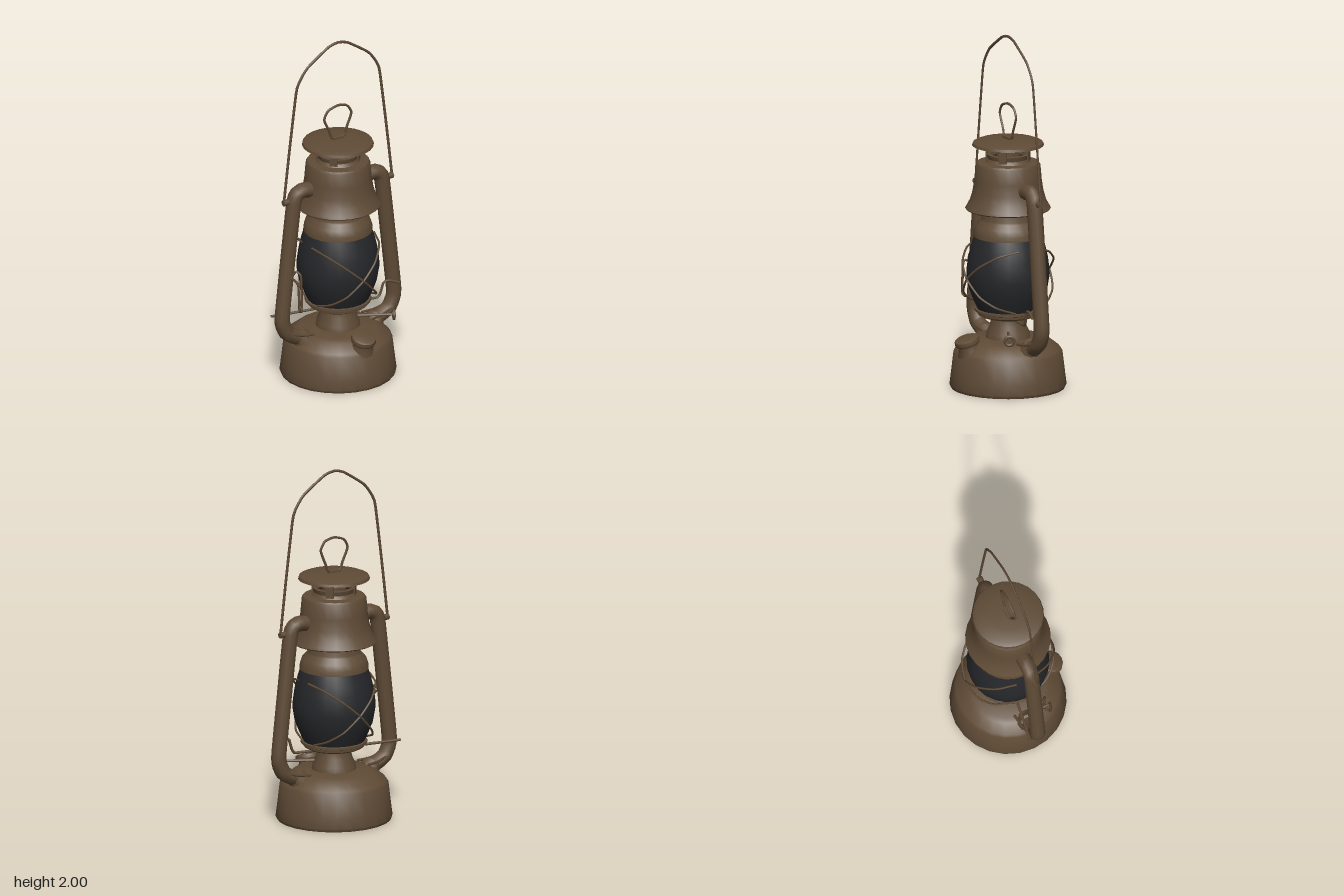
import * as THREE from 'three';
import { toCreasedNormals } from 'three/addons/utils/BufferGeometryUtils.js';

const bronze = new THREE.MeshStandardMaterial({ color: 0x5f4b36, side: THREE.DoubleSide });
bronze.name = 'aged bronze';
const glass = new THREE.MeshStandardMaterial({ color: 0x26272a, side: THREE.DoubleSide });
glass.name = 'smoked glass';

const v3 = (p) => new THREE.Vector3(p[0], p[1], p[2] || 0);

export function createModel() {
  const model = new THREE.Group();

  const add = (name, geometry, material = bronze, parent = model) => {
    const mesh = new THREE.Mesh(geometry, material);
    mesh.name = name;
    parent.add(mesh);
    return mesh;
  };
  // Turned part from [radius, height] pairs
  const turned = (name, profile, material = bronze, sides = 24, parent = model) =>
    add(name, toCreasedNormals(new THREE.LatheGeometry(
      profile.map(([r, y]) => new THREE.Vector2(r, y)), sides), 0.6), material, parent);
  // Bent wire or pipe through points
  const pipe = (name, points, radius, { sides = 6, steps = 32, closed = false, tension = 0.3 } = {}) =>
    add(name, new THREE.TubeGeometry(
      new THREE.CatmullRomCurve3(points.map(v3), closed, 'catmullrom', tension),
      steps, radius, sides, closed));

  // Fuel tank
  turned('fuelTank', [[0, 0], [0.318, 0], [0.325, 0.015], [0.318, 0.07], [0.302, 0.205],
    [0.29, 0.222], [0.235, 0.265], [0.21, 0.278], [0.14, 0.28], [0.12, 0.285], [0, 0.285]]);

  // Burner and the gallery that carries the globe
  turned('burner', [[0.125, 0.28], [0.12, 0.31], [0.1, 0.355], [0.095, 0.39], [0.11, 0.4],
    [0.15, 0.405], [0.168, 0.415], [0.17, 0.43], [0.185, 0.435], [0.185, 0.447], [0.16, 0.45], [0, 0.45]]);

  // Globe
  turned('globe', [[0.17, 0.445], [0.195, 0.5], [0.219, 0.565], [0.23, 0.63], [0.229, 0.68],
    [0.22, 0.745], [0.205, 0.81], [0.187, 0.865]], glass);

  // Collar and chimney throat
  turned('collar', [[0.18, 0.86], [0.193, 0.86], [0.191, 0.885], [0.18, 0.92], [0.152, 0.95],
    [0.147, 0.96], [0.147, 1.06]]);

  // Flared hood with neck
  turned('hood', [[0.232, 1.012], [0.238, 1.018], [0.232, 1.03], [0.212, 1.065], [0.197, 1.115],
    [0.187, 1.18], [0.18, 1.265], [0.172, 1.278], [0.125, 1.283], [0.112, 1.3], [0.118, 1.325], [0.1, 1.328]]);
  turned('hoodFloor', [[0.14, 1.05], [0.2, 1.08]]);

  // Vent posts and rain cap
  for (let i = 0; i < 4; i++) {
    const angle = Math.PI / 4 + i * Math.PI / 2;
    const post = add('ventPost', new THREE.BoxGeometry(0.045, 0.1, 0.008));
    post.position.set(Math.sin(angle) * 0.118, 1.34, Math.cos(angle) * 0.118);
    post.rotation.y = angle;
  }
  turned('ventCore', [[0.07, 1.32], [0.07, 1.39]]);
  turned('rainCap', [[0, 1.385], [0.15, 1.385], [0.19, 1.372], [0.2, 1.375], [0.195, 1.39],
    [0.17, 1.4], [0.1, 1.408], [0, 1.411]]);

  // Lifting ring on the cap
  pipe('liftingRing', [[-0.04, 1.42], [-0.055, 1.46], [-0.09, 1.54], [-0.065, 1.59], [0, 1.61],
    [0.06, 1.595], [0.088, 1.545], [0.055, 1.46], [0.04, 1.42]], 0.007, { closed: true, steps: 40 });
  const clip = add('ringClip', new THREE.BoxGeometry(0.07, 0.014, 0.03));
  clip.position.y = 1.415;

  // Carrying bail, flat in depth
  const bail = pipe('carryingBail', [[-0.356, 1.1], [-0.318, 1.42], [-0.275, 1.75], [-0.255, 1.81],
    [-0.2, 1.885], [-0.07, 1.973], [-0.03, 1.988], [0, 1.992], [0.03, 1.988], [0.07, 1.973],
    [0.2, 1.885], [0.255, 1.81], [0.275, 1.75], [0.318, 1.42], [0.356, 1.1]], 0.008, { steps: 64 });
  bail.scale.z = 0.75;

  // Side pipes with saddles, mirrored
  for (const s of [-1, 1]) {
    pipe('sidePipe', [[0.17, 1.14], [0.225, 1.15], [0.265, 1.14], [0.29, 1.09], [0.33, 0.75],
      [0.366, 0.42], [0.362, 0.36], [0.335, 0.305], [0.275, 0.27], [0.2, 0.25]].map(([x, y]) => [s * x, y]),
    0.044, { sides: 10, steps: 44 });
    const saddle = add('pipeSaddle', new THREE.CylinderGeometry(0.045, 0.06, 0.04, 10));
    saddle.position.set(s * 0.25, 0.27, 0);
    saddle.rotation.z = -s * 0.6;
    // Thin solder fins at the foot
    for (const z of [-0.035, 0, 0.035]) {
      pipe('saddleFin', [[s * 0.33, 0.31, z], [s * 0.26, 0.29, z * 1.3], [s * 0.19, 0.285, z * 1.6]],
        0.008, { sides: 4, steps: 6 });
    }
    // Ears at the top joint
    const ear = add('bailEar', new THREE.CylinderGeometry(0.018, 0.018, 0.06, 8));
    ear.position.set(s * 0.33, 1.1, 0);
    ear.rotation.z = Math.PI / 2;
  }

  // Crossed guard wires on front and back
  for (const zSide of [-1, 1]) {
    for (const s of [-1, 1]) {
      pipe('guardWire', [[-0.205, 0.81, 0.05], [-0.17, 0.785, 0.16], [-0.09, 0.72, 0.24], [0, 0.64, 0.265],
        [0.09, 0.55, 0.235], [0.15, 0.49, 0.16], [0.17, 0.45, 0.05]]
        .map(([x, y, z]) => [s * x, y, zSide * z]), 0.006, { sides: 5, steps: 28 });
    }
  }

  // Filler cap, tipped forward on the tank shoulder
  const filler = new THREE.Group();
  filler.name = 'fillerCap';
  filler.position.set(0, 0.235, 0.245);
  filler.rotation.x = 0.33;
  model.add(filler);
  turned('fillerNeck', [[0.075, -0.02], [0.055, 0.03], [0.055, 0.045]], bronze, 14, filler);
  turned('fillerLid', [[0, 0.04], [0.068, 0.04], [0.072, 0.05], [0.068, 0.07], [0.055, 0.076], [0, 0.072]],
    bronze, 14, filler);

  // Wick shaft and knob
  pipe('wickShaft', [[0.07, 0.33, 0.04], [0.17, 0.33, 0.095], [0.28, 0.33, 0.155]], 0.008, { steps: 8 });
  const knob = add('wickKnob', new THREE.TorusGeometry(0.025, 0.009, 6, 12));
  knob.position.set(0.272, 0.33, 0.15);
  knob.rotation.y = 1.07;
  const hub = add('knobHub', new THREE.CylinderGeometry(0.017, 0.017, 0.02, 8));
  hub.position.copy(knob.position);
  hub.rotation.set(Math.PI / 2, 0, -1.07, 'XYZ');

  // Globe lifting rod and side hook
  pipe('liftRod', [[-0.4, 0.4, -0.062], [-0.33, 0.398, -0.05], [0, 0.398, 0], [0.235, 0.398, 0.035],
    [0.255, 0.42, 0.038], [0.275, 0.485, 0.04], [0.31, 0.488, 0.045], [0.365, 0.465, 0.057]],
  0.008, { tension: 0.1, steps: 48 });
  pipe('sideHook', [[-0.335, 0.65, 0.04], [-0.315, 0.7, 0.06], [-0.295, 0.67, 0.08], [-0.288, 0.48, 0.08],
    [-0.305, 0.465, 0.1], [-0.32, 0.48, 0.105], [-0.325, 0.63, 0.1], [-0.34, 0.66, 0.08]],
  0.007, { tension: 0.2, closed: true, steps: 48 });

  return model;
}
